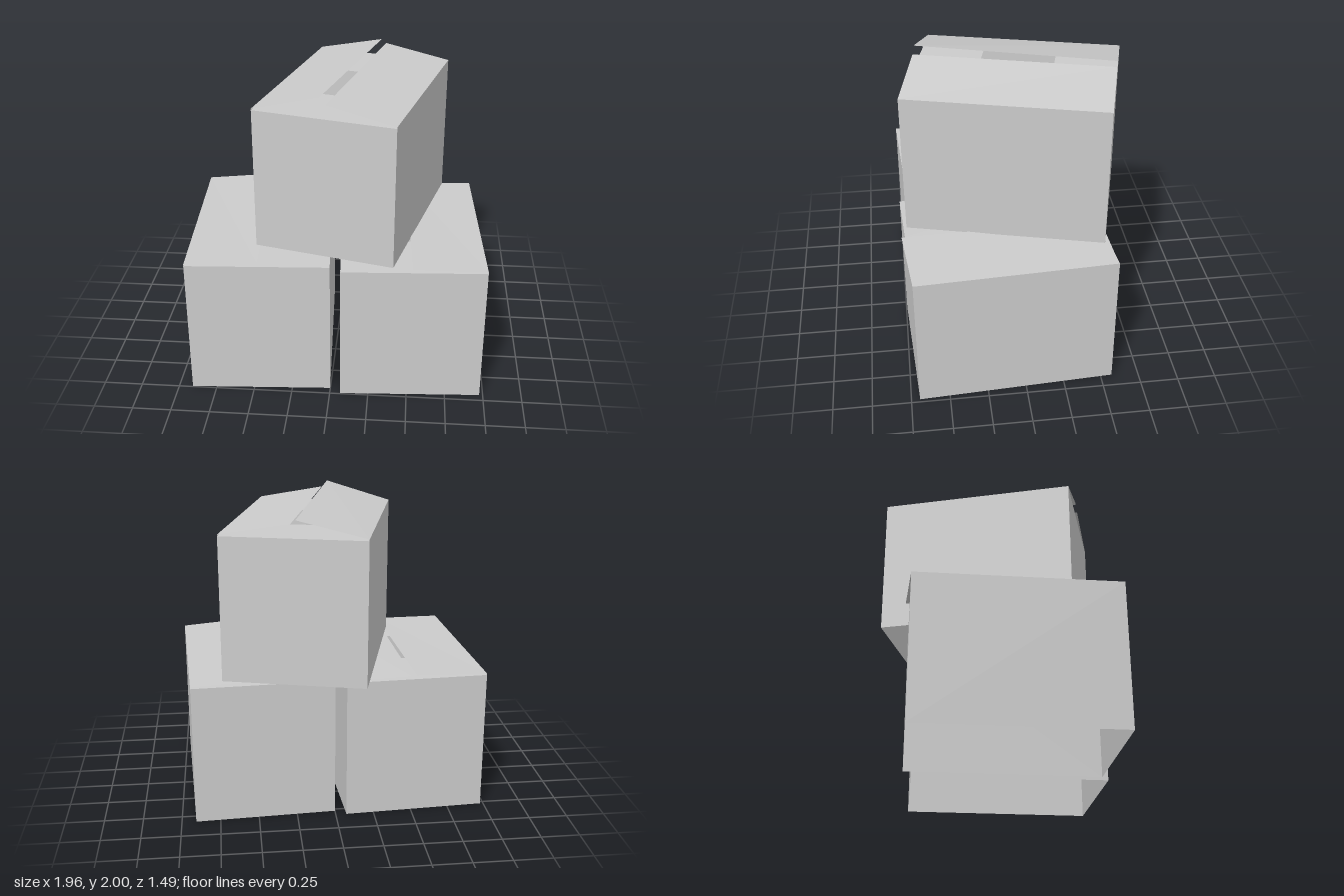
import * as THREE from 'three';

const material = new THREE.MeshStandardMaterial({ color: 0xcccccc, flatShading: true, side: THREE.DoubleSide });

const HW = 0.455;      // half width
const HL = 0.635;      // half length
const SIDE = 0.93;     // height of the side walls
const END = 0.92;      // height of the end walls, one card fold lower
const MINOR = 0.4;     // depth of the tucked end flaps

// One sheet of card through four corners, in order around its edge
function sheet(name, a, b, c, d) {
  const geometry = new THREE.BufferGeometry();
  geometry.setAttribute('position', new THREE.Float32BufferAttribute([a, b, c, a, c, d].flat(), 3));
  geometry.computeVertexNormals();
  const mesh = new THREE.Mesh(geometry, material);
  mesh.name = name;
  return mesh;
}

// Open-bottomed carton; each flap gives its free edge as [back, front] points
function carton(name, leftFlap, rightFlap) {
  const box = new THREE.Group();
  box.name = name;

  // Side walls with their long top flaps
  for (const [s, label, flap] of [[-1, 'left', leftFlap], [1, 'right', rightFlap]]) {
    const x = s * HW;
    box.add(sheet(label + 'Wall', [x, 0, s * HL], [x, 0, -s * HL], [x, SIDE, -s * HL], [x, SIDE, s * HL]));
    const corners = [[x, SIDE, -HL], [x, SIDE, HL], flap[1], flap[0]];
    if (s > 0) corners.reverse();
    box.add(sheet(label + 'Flap', ...corners));
  }

  // End walls with the short flaps folded in beneath
  for (const [s, label] of [[1, 'front'], [-1, 'back']]) {
    const z = s * HL, inner = s * (HL - MINOR);
    box.add(sheet(label + 'Wall', [-s * HW, 0, z], [s * HW, 0, z], [s * HW, END, z], [-s * HW, END, z]));
    box.add(sheet(label + 'InnerFlap', [-s * HW, END, z], [s * HW, END, z], [s * HW, END, inner], [-s * HW, END, inner]));
  }
  return box;
}

export function createModel() {
  const group = new THREE.Group();
  group.name = 'boxStack';

  // Two nearly closed cartons side by side, the second turned end for end
  for (const [name, x, turn] of [['lowerRightBox', -0.49, 0.055], ['lowerLeftBox', 0.488, Math.PI + 0.055]]) {
    const box = carton(name,
      [[0.012, 0.955, -HL - 0.024], [0, 0.94, HL - 0.022]],
      [[0.033, 0.94, -HL], [0.012, 0.936, HL - 0.005]]);
    box.position.set(x, 0, 0.085);
    box.rotation.y = turn;
    group.add(box);
  }

  // Upper carton, turned askew with its flaps standing up
  const top = carton('upperBox',
    [[-0.018, 1.03, -HL], [-0.018, 1.055, HL]],
    [[0.014, 1.005, -HL], [0.018, 1.012, HL]]);
  top.position.set(0.11, 0.945, -0.02);
  top.rotation.y = -0.252;
  group.add(top);

  return group;
}
